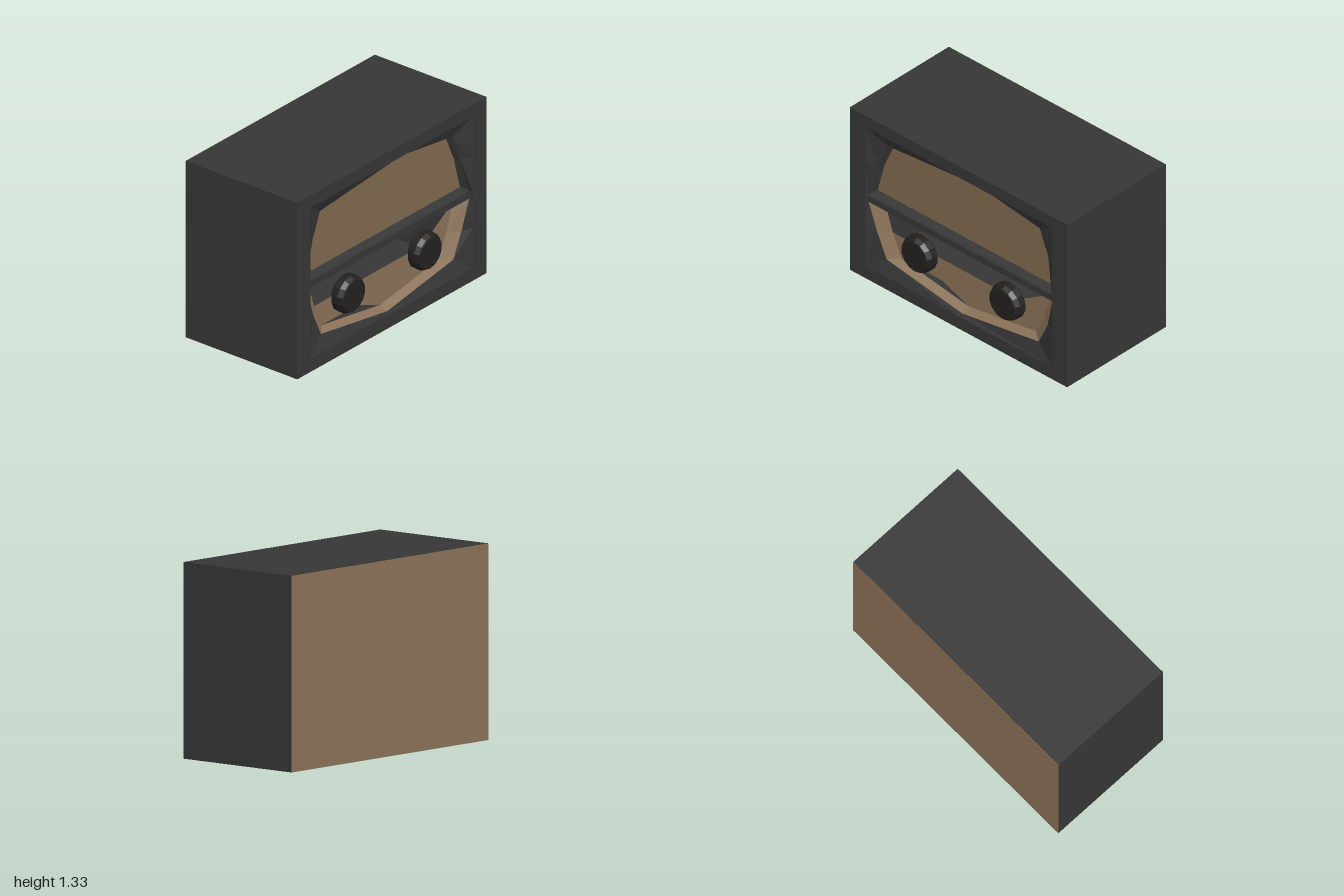
import * as THREE from 'three';

const FRONT = 0.48, BACK = -0.488, W = 1, H = 1.333;
const mat = (color) => new THREE.MeshStandardMaterial({ color, flatShading: true, side: THREE.DoubleSide });

// Mirror a right-half outline (bottom corner to centre) into a full one
const mirror = (half) => [...half, ...half.slice(0, -1).reverse().map(([x, y, d]) => [-x, y, d])];

// Strip of quads between two outlines of [x, y, depth behind the front]
function strip(a, b) {
  const pos = [];
  const put = ([x, y, d]) => pos.push(x, y, FRONT - d);
  for (let i = 0; i < a.length - 1; i++) {
    [a[i], a[i + 1], b[i + 1], a[i], b[i + 1], b[i]].forEach(put);
  }
  const g = new THREE.BufferGeometry();
  g.setAttribute('position', new THREE.Float32BufferAttribute(pos, 3));
  g.computeVertexNormals();
  return g;
}

// Flat panel filling an outline
function panel(outline, depth) {
  const shape = new THREE.Shape(outline.map(([x, y]) => new THREE.Vector2(x, y)));
  if (THREE.ShapeUtils.area(shape.getPoints()) < 0) shape.curves.reverse();
  return new THREE.ShapeGeometry(shape).translate(0, 0, FRONT - depth);
}

export function createModel() {
  const group = new THREE.Group();
  const dark = mat(0x363636), bronze = mat(0x8a7258), face = mat(0x7f694e), black = mat(0x222120);
  const add = (name, geometry, material, parent = group) => {
    const m = new THREE.Mesh(geometry, material);
    m.name = name;
    parent.add(m);
    return m;
  };

  // Cabinet shell with the front opening
  const shell = new THREE.Shape([[-W, 0], [W, 0], [W, H], [-W, H]].map((p) => new THREE.Vector2(...p)));
  shell.holes.push(new THREE.Path([[-0.86, 0.1], [-0.86, 1.24], [0.86, 1.24], [0.86, 0.1]].map((p) => new THREE.Vector2(...p))));
  const depth = FRONT - BACK - 0.002;
  add('cabinet', new THREE.ExtrudeGeometry(shell, { depth, bevelEnabled: false }).translate(0, 0, FRONT - depth), dark);
  add('backPanel', new THREE.BoxGeometry(2 * W, H, 0.002).translate(0, H / 2, BACK + 0.001), bronze);

  // Divider between the two windows
  add('divider', new THREE.BoxGeometry(1.72, 0.05, 0.12).translate(0, 0.645, FRONT - 0.08), dark);

  // Upper window: sloped corners, lip and panel
  const upperRect = mirror([[0.86, 0.67, 0], [0.86, 0.94, 0], [0.86, 1.24, 0], [0, 1.24, 0]]);
  const upperRim = mirror([[0.86, 0.67, 0.04], [0.78, 0.94, 0.05], [0.7, 1.135, 0.05], [0, 1.238, 0.04]]);
  const upperInner = mirror([[0.83, 0.69, 0.09], [0.765, 0.93, 0.09], [0.68, 1.12, 0.09], [0, 1.215, 0.09]]);
  add('upperSurround', strip(upperRect, upperRim), dark);
  add('upperLip', strip(upperRim, upperInner), dark);
  add('upperSill', strip([[-0.86, 0.67, 0.04], [0.86, 0.67, 0.04]], [[-0.83, 0.69, 0.09], [0.83, 0.69, 0.09]]), dark);
  add('upperPanel', panel(upperInner, 0.09), face);

  // Lower window: sloped corners, bronze lip and panel
  const lowerRect = mirror([[0.86, 0.62, 0], [0.86, 0.4, 0], [0.86, 0.1, 0], [0, 0.1, 0]]);
  const lowerRim = mirror([[0.86, 0.62, 0.03], [0.785, 0.39, 0.04], [0.7, 0.21, 0.04], [0, 0.101, 0.04]]);
  const lowerInner = mirror([[0.765, 0.595, 0.1], [0.7, 0.4, 0.1], [0.62, 0.225, 0.1], [0, 0.13, 0.1]]);
  add('lowerSurround', strip(lowerRect, lowerRim), dark);
  add('lowerLip', strip(lowerRim, lowerInner), bronze);
  add('lowerHood', strip([[-0.86, 0.62, 0.03], [0.86, 0.62, 0.03]], [[-0.765, 0.595, 0.1], [0.765, 0.595, 0.1]]), black);
  add('lowerPanel', panel(lowerInner, 0.1), bronze);

  // Two slightly tilted knobs
  const profile = [[0, -0.1], [0.115, -0.1], [0.138, -0.08], [0.138, -0.03], [0.122, 0.002], [0.114, 0.007], [0, 0.007]]
    .map((p) => new THREE.Vector2(...p));
  for (const [name, x] of [['leftKnob', 0.405], ['rightKnob', -0.405]]) {
    const knob = add(name, new THREE.LatheGeometry(profile, 14).rotateX(Math.PI / 2), black);
    knob.position.set(x, 0.395, FRONT);
    knob.rotation.x = 0.02;
  }
  return group;
}
